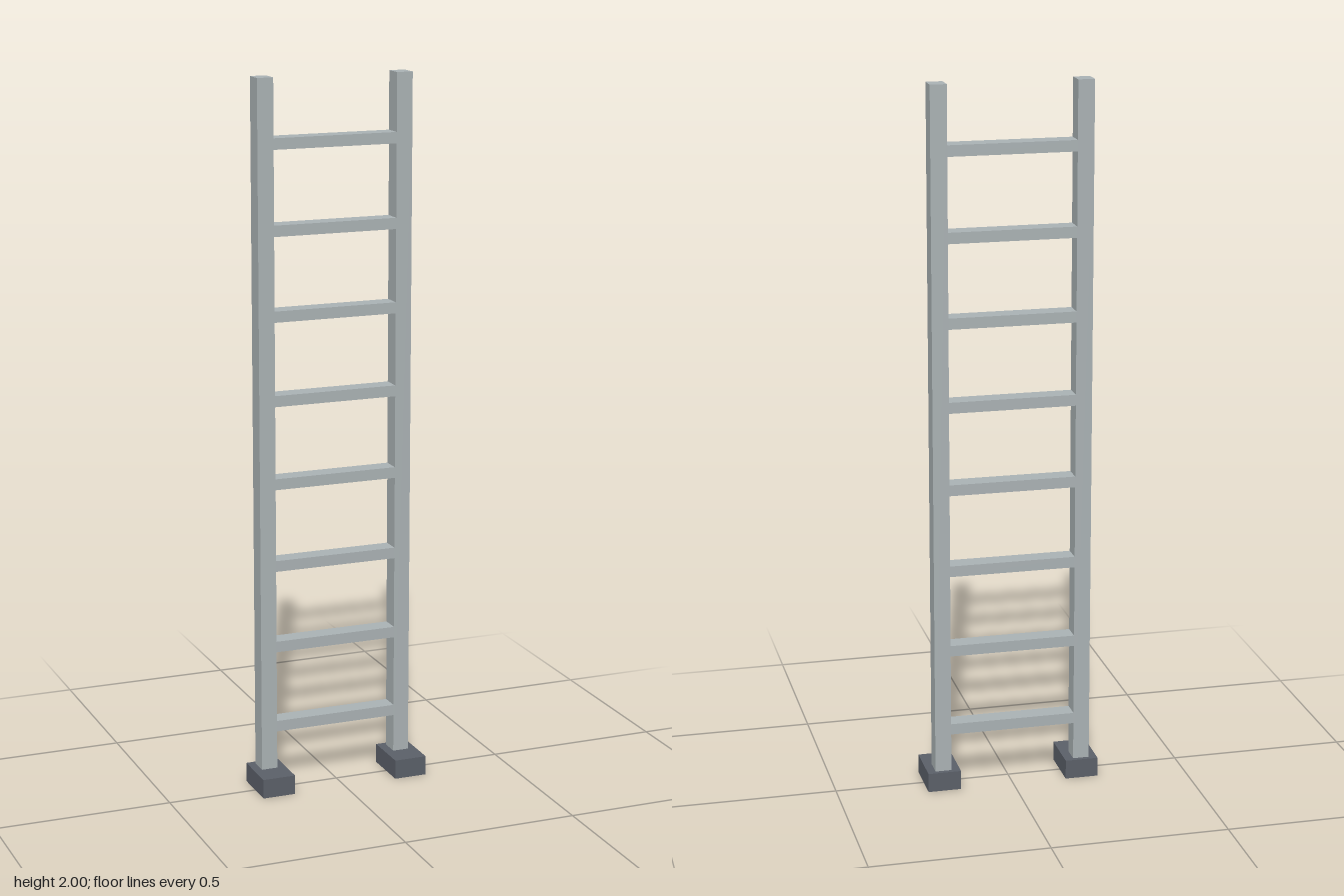
import * as THREE from 'three';

export function createModel() {
  const ladder = new THREE.Group();
  ladder.name = 'ladder';

  const metal = new THREE.MeshStandardMaterial({ color: 0xa9b1b3 });
  metal.name = 'light grey metal';
  const rubber = new THREE.MeshStandardMaterial({ color: 0x5a5f68 });
  rubber.name = 'dark grey rubber';

  const addBox = (name, material, size, position) => {
    const mesh = new THREE.Mesh(new THREE.BoxGeometry(...size), material);
    mesh.name = name;
    mesh.position.set(...position);
    ladder.add(mesh);
  };

  const railX = 0.201, railWidth = 0.046, depth = 0.054, railZ = -0.031;

  // Upright rails, running through the feet to the ground
  for (const [side, s] of [['left', 1], ['right', -1]]) {
    addBox(side + 'Rail', metal, [railWidth, 2, depth], [s * railX, 1, railZ]);
    // Foot block, raised a hair so the rail end shows underneath
    addBox(side + 'Foot', rubber, [0.094, 0.055, 0.142], [s * 0.2, 0.0285, 0]);
  }

  // Evenly spaced rungs between the rails
  const rungCount = 8, firstY = 0.18, lastY = 1.823;
  for (let i = 0; i < rungCount; i++) {
    const y = firstY + ((lastY - firstY) * i) / (rungCount - 1);
    addBox('rung' + (i + 1), metal, [2 * railX - railWidth, 0.031, depth], [0, y, railZ]);
  }

  return ladder;
}
